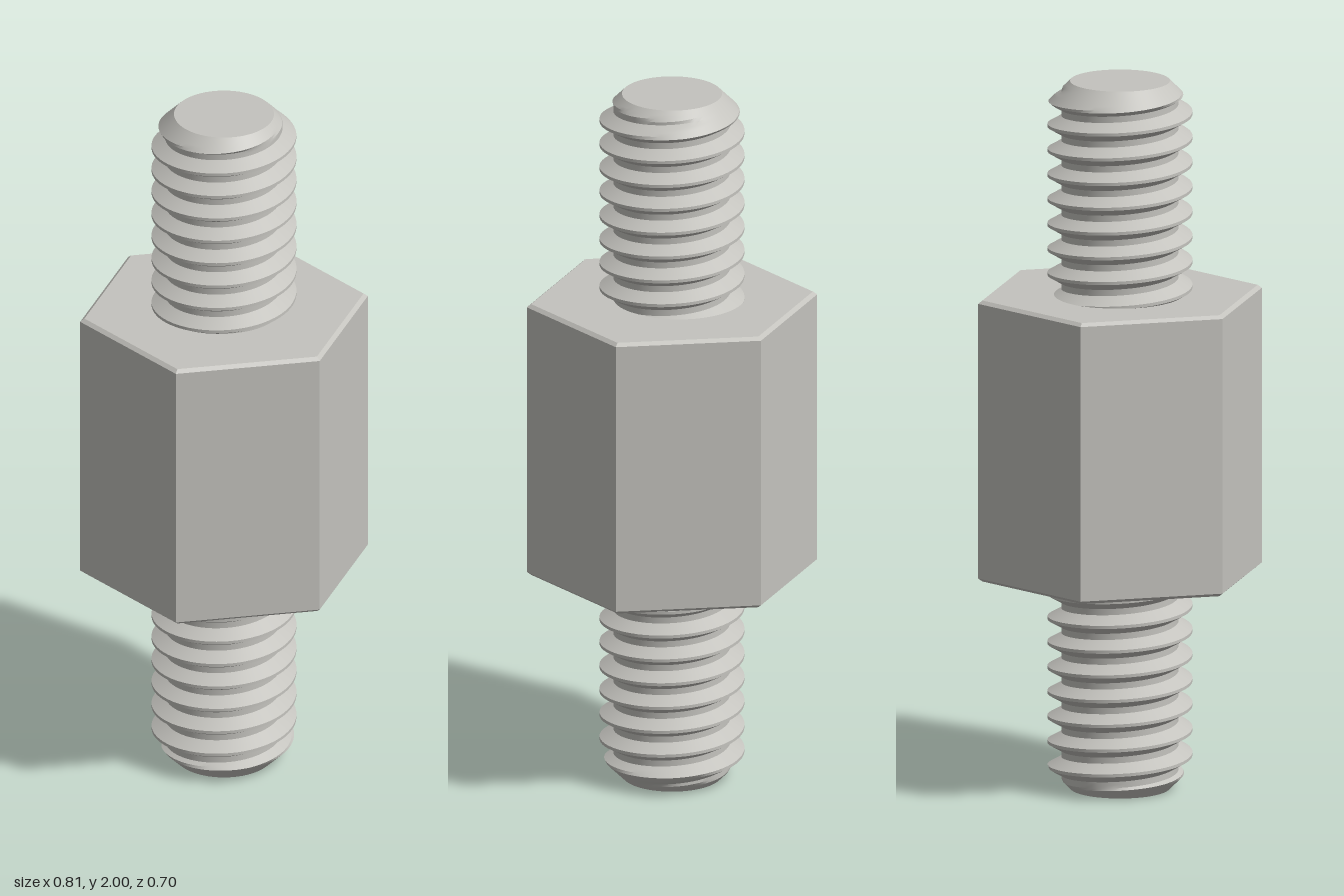
import * as THREE from 'three';
import { toCreasedNormals } from 'three/addons/utils/BufferGeometryUtils.js';

const PITCH = 0.07, MAJOR = 0.2, MINOR = 0.162, TIP = 0.138;

// Thread radius at a phase (0 = crest, 0.5 = root): flat crest, straight flank, flat root
function threadRadius(phase) {
  const p = Math.abs(phase - Math.round(phase));
  const t = THREE.MathUtils.clamp((p - 0.0625) / (0.375 - 0.0625), 0, 1);
  return MAJOR + (MINOR - MAJOR) * t;
}

// Right-handed helical surface from y0 to y1, with a 45 degree chamfer at the free end
function threadGeometry(y0, y1, crestY, tipY) {
  const segs = 64;
  const fractions = [-0.0625, 0.0625, 0.1667, 0.2708, 0.375, 0.5, 0.625, 0.7292, 0.8333];
  const rows = [];
  const first = Math.floor((y0 - crestY) / PITCH) - 2;
  const last = Math.ceil((y1 - crestY) / PITCH) + 1;
  for (let k = first; k <= last; k++) for (const f of fractions) rows.push(k + f);

  const point = (i, row) => {
    const turn = i / segs, a = turn * Math.PI * 2;
    const y = THREE.MathUtils.clamp(crestY + PITCH * (row + turn), y0, y1);
    const r = Math.min(threadRadius((y - crestY) / PITCH - turn), TIP + Math.abs(y - tipY));
    return new THREE.Vector3(r * Math.cos(a), y, -r * Math.sin(a));
  };

  const positions = [];
  const tri = new THREE.Triangle();
  const addFace = (a, b, c) => {
    if (tri.set(a, b, c).getArea() < 1e-9) return;
    for (const p of [a, b, c]) positions.push(p.x, p.y, p.z);
  };
  for (let i = 0; i < segs; i++) {
    for (let j = 0; j < rows.length - 1; j++) {
      const a = point(i, rows[j]), b = point(i + 1, rows[j]);
      const c = point(i + 1, rows[j + 1]), d = point(i, rows[j + 1]);
      addFace(a, b, c);
      addFace(a, c, d);
    }
  }
  const geometry = new THREE.BufferGeometry();
  geometry.setAttribute('position', new THREE.Float32BufferAttribute(positions, 3));
  return toCreasedNormals(geometry, Math.PI / 7);
}

export function createModel() {
  const steel = new THREE.MeshStandardMaterial({ color: 0xc4c3be });
  steel.name = 'steel';
  const model = new THREE.Group();
  model.name = 'hexStandoff';
  const add = (name, geometry, parent = model) => {
    const mesh = new THREE.Mesh(geometry, steel);
    mesh.name = name;
    parent.add(mesh);
    return mesh;
  };

  // Hexagonal body with small chamfers top and bottom
  const profile = [[0, 0.605], [0.392, 0.605], [0.404, 0.614], [0.404, 1.391], [0.392, 1.4], [0, 1.4]]
    .map(([r, y]) => new THREE.Vector2(r, y));
  const hex = new THREE.LatheGeometry(profile, 6, Math.PI / 6).toNonIndexed();
  hex.computeVertexNormals();
  add('hexBody', hex);

  // Threaded studs, each with a flat end face
  const studs = [
    { name: 'lowerStud', y0: 0, y1: 0.62, crestY: 0.053, tipY: 0 },
    { name: 'upperStud', y0: 1.39, y1: 2, crestY: 1.936, tipY: 2 },
  ];
  for (const { name, y0, y1, crestY, tipY } of studs) {
    const stud = new THREE.Group();
    stud.name = name;
    add(name + 'Thread', threadGeometry(y0, y1, crestY, tipY), stud);
    const cap = add(name + 'EndFace', new THREE.CircleGeometry(TIP, 64), stud);
    cap.position.y = tipY;
    cap.rotation.x = tipY > 1 ? -Math.PI / 2 : Math.PI / 2;
    model.add(stud);
  }
  return model;
}
